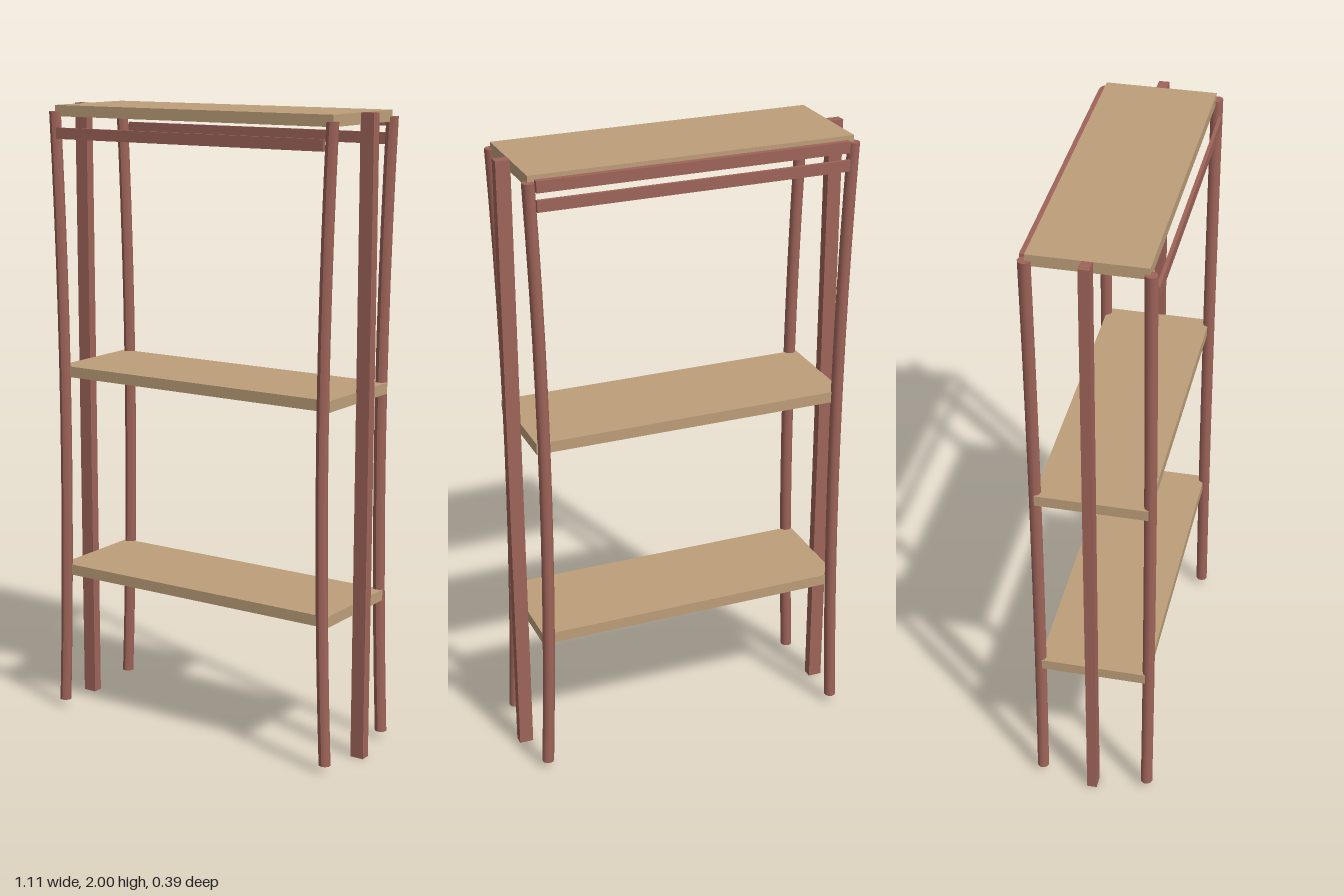
import * as THREE from 'three';

export function createModel() {
  const group = new THREE.Group();
  const wood = new THREE.MeshStandardMaterial({ color: 0xbd9f7a });
  const redMetal = new THREE.MeshStandardMaterial({ color: 0x9e6459 });

  const add = (name, geometry, material, x, y, z) => {
    const mesh = new THREE.Mesh(geometry, material);
    mesh.name = name;
    mesh.position.set(x, y, z);
    group.add(mesh);
  };
  const box = (name, material, w, y0, y1, z0, z1, x = 0) =>
    add(name, new THREE.BoxGeometry(w, y1 - y0, z1 - z0), material, x, (y0 + y1) / 2, (z0 + z1) / 2);

  // Three shelves of equal size
  [['lowerShelf', 0.465], ['middleShelf', 1.132], ['topShelf', 1.965]].forEach(([name, y]) =>
    box(name, wood, 1.02, y, y + 0.035, -0.172, 0.172));

  // Round legs, bowed inward at mid height
  const legHeight = 1.955;
  const bowedLeg = (side) => {
    const geometry = new THREE.CylinderGeometry(0.019, 0.019, legHeight, 10, 12);
    const p = geometry.attributes.position;
    for (let i = 0; i < p.count; i++) {
      const t = p.getY(i) / (legHeight / 2);
      p.setX(i, p.getX(i) + side * 0.022 * t * t);
    }
    geometry.computeVertexNormals();
    return geometry;
  };

  for (const side of [1, -1]) {
    const label = side > 0 ? 'left' : 'right';
    add(label + 'FrontLeg', bowedLeg(side), redMetal, side * 0.487, 1.003, 0.174);
    add(label + 'BackLeg', bowedLeg(side), redMetal, side * 0.487, 1.003, -0.174);
    // Square upright outside each end of the shelves
    box(label + 'Upright', redMetal, 0.045, 0, 2, -0.016, 0.016, side * 0.531);
  }

  // Cross rails below the top shelf
  box('frontRail', redMetal, 0.98, 1.896, 1.931, 0.183, 0.194);
  box('backRail', redMetal, 0.98, 1.896, 1.931, -0.194, -0.183);
  box('upperBackRail', redMetal, 0.98, 1.952, 1.987, -0.192, -0.173);

  return group;
}
